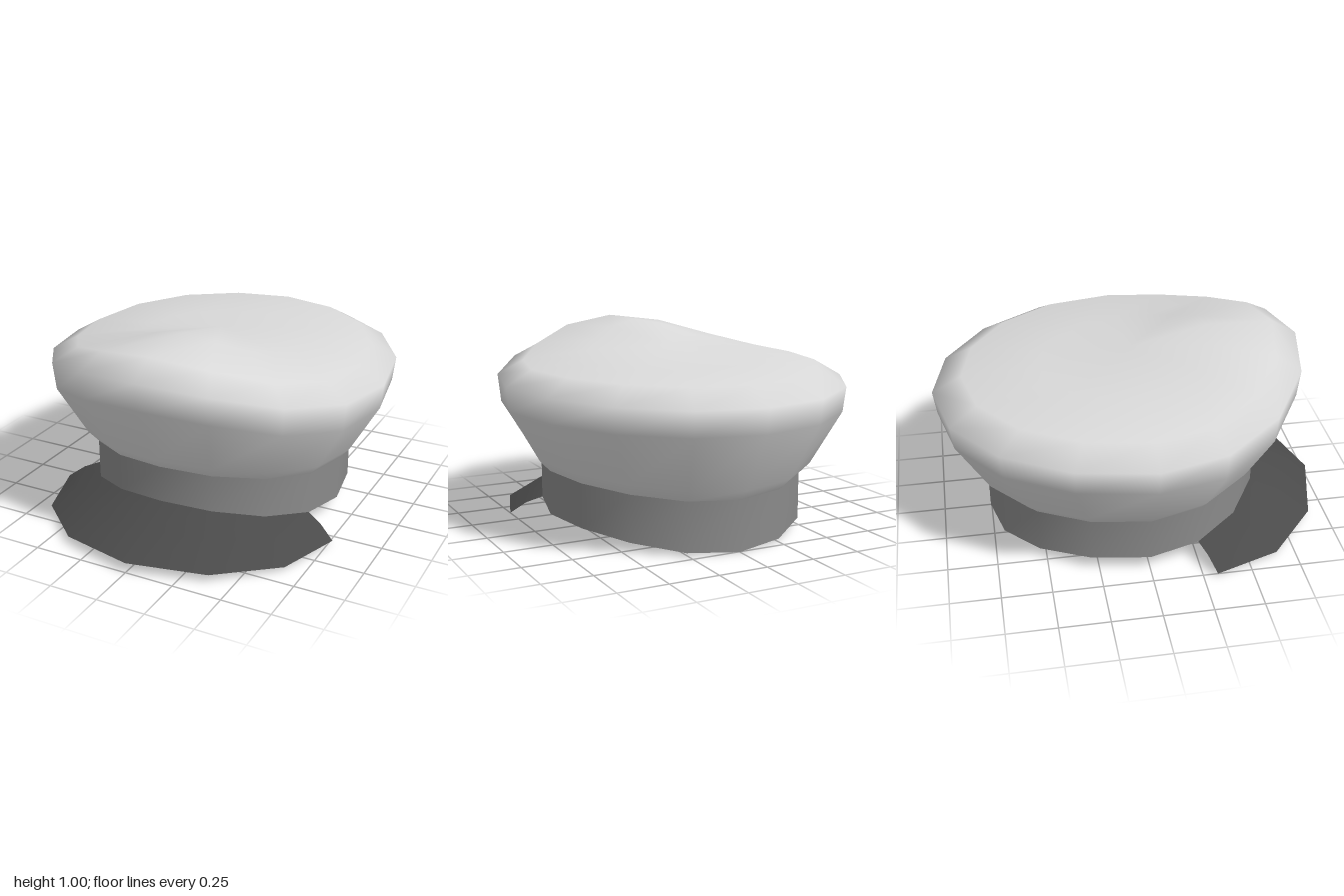
import * as THREE from 'three';

const material = (name, color) => {
  const m = new THREE.MeshStandardMaterial({ color, side: THREE.DoubleSide });
  m.name = name;
  return m;
};

// Point on the egg-shaped outline; step 0 is the front, 8 the back, 4 the left side
function outline(step, scale, y) {
  const a = step * Math.PI / 8, c = Math.cos(a);
  return [0.88 * scale * Math.sin(a), y, (c > 0 ? 0.87 : 1) * scale * c];
}

// Closed ring from nine heights running front to back, mirrored to the other side
const ring = (scale, heights) => Array.from({ length: 16 }, (_, i) =>
  outline(i, scale, heights[i <= 8 ? i : 16 - i]));

// Skin a list of rows, lowest/innermost first; optionally close with a centre point
function loft(rows, closed, tip) {
  const n = rows[0].length, index = [];
  const points = rows.flat();
  for (let r = 0; r < rows.length - 1; r++)
    for (let i = 0; i < (closed ? n : n - 1); i++) {
      const j = (i + 1) % n, a = r * n + i, b = r * n + j;
      index.push(a, b, b + n, a, b + n, a + n);
    }
  if (tip) {
    const last = (rows.length - 1) * n;
    for (let i = 0; i < n; i++) index.push(last + i, last + (i + 1) % n, points.length);
    points.push(tip);
  }
  const g = new THREE.BufferGeometry();
  g.setAttribute('position', new THREE.Float32BufferAttribute(points.flat(), 3));
  g.setIndex(index);
  g.computeVertexNormals();
  return g;
}

export function createModel() {
  const cap = new THREE.Group();
  cap.name = 'peakedCap';
  const add = (name, geometry, mat) => {
    const mesh = new THREE.Mesh(geometry, mat);
    mesh.name = name;
    cap.add(mesh);
  };

  const bandBottom = [0.22, 0.2, 0.155, 0.11, 0.085, 0.08, 0.055, 0.02, 0.005];
  const bandTop = [0.405, 0.39, 0.36, 0.325, 0.31, 0.305, 0.29, 0.27, 0.26];
  const rim = [0.915, 0.885, 0.815, 0.765, 0.75, 0.75, 0.745, 0.74, 0.74];

  // Head band, open underneath
  add('band', loft([ring(0.755, bandBottom), ring(0.755, bandTop)], true),
    material('band grey', 0x8a8a8a));

  // Flared crown with a raised front and dished top
  add('crown', loft([
    ring(0.755, bandTop),
    ring(0.815, bandTop.map(y => y + 0.058)),
    ring(0.983, rim.map((y, i) => y - (i < 4 ? 0.14 : 0.125))),
    ring(1, rim),
    ring(0.85, [0.997, 0.96, 0.885, 0.838, 0.828, 0.828, 0.825, 0.82, 0.82]),
    ring(0.46, [1.005, 0.975, 0.92, 0.885, 0.865, 0.855, 0.845, 0.84, 0.84]),
  ], true, [0, 0.91, 0]), material('crown light grey', 0xdadada));

  // Curved visor, from the band's lower front edge outwards
  const mirror = half => [
    ...half.slice(1).reverse().map(([x, y, z]) => [-x, y, z]), ...half];
  const inner = [0, 1, 2, 3].map(i => outline(i, 0.755, bandBottom[i]));
  const outer = [[0, 0.057, 1], [0.385, 0.045, 0.9], [0.66, 0.026, 0.65], [0.77, 0.023, 0.32]];
  const middle = inner.map((p, i) => p.map((v, k) =>
    (v + outer[i][k]) / 2 + (k === 1 ? 0.013 : 0)));
  add('visor', loft([mirror(outer), mirror(middle), mirror(inner)], false),
    material('visor dark grey', 0x4a4a4a));

  return cap;
}
